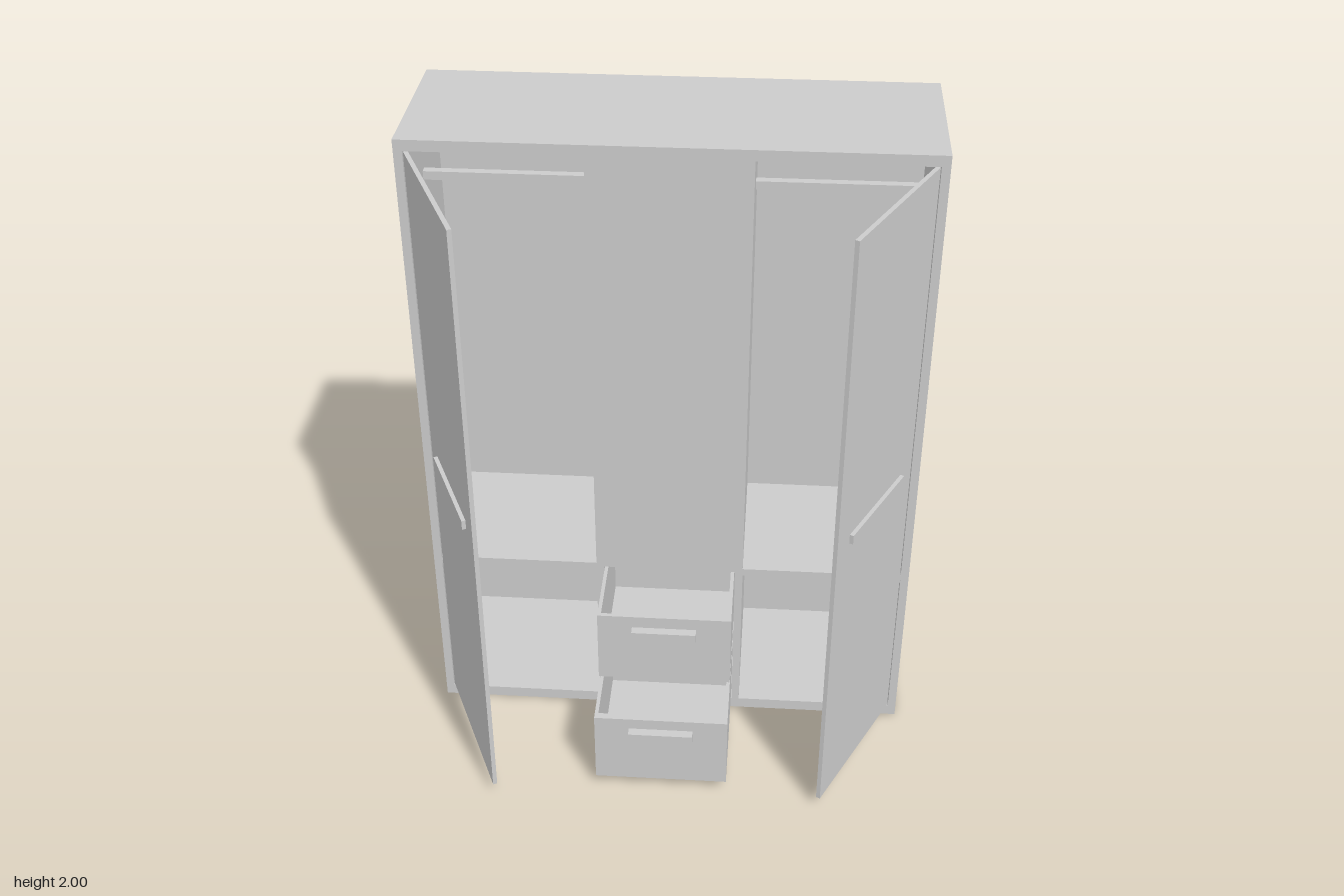
import * as THREE from 'three';

const material = new THREE.MeshStandardMaterial({ color: 0xcccccc });

// Box given by its min and max on each axis
function slab(parent, name, [x0, x1], [y0, y1], [z0, z1]) {
  const mesh = new THREE.Mesh(new THREE.BoxGeometry(x1 - x0, y1 - y0, z1 - z0), material);
  mesh.name = name;
  mesh.position.set((x0 + x1) / 2, (y0 + y1) / 2, (z0 + z1) / 2);
  parent.add(mesh);
  return mesh;
}

function group(parent, name) {
  const g = new THREE.Group();
  g.name = name;
  parent.add(g);
  return g;
}

const W = 0.747, IN = 0.722, COL = 0.23;      // outer, inner and column half widths
const BACK = -0.475, INNER_BACK = -0.445, FRONT = 0.022;
const FLOOR = 0.037, CEIL = 1.967;

// Open-topped drawer with a bar handle
function addDrawer(parent, name, y0, y1, front, frontThickness, handleY) {
  const g = group(parent, name);
  const w = 0.204, t = 0.011, back = front - 0.44;
  const inner = front - frontThickness;
  slab(g, 'drawerFront', [-w, w], [y0, y1], [inner, front]);
  slab(g, 'drawerBack', [-w, w], [y0, y1], [back, back + t]);
  slab(g, 'drawerBase', [-w + t, w - t], [y0, y0 + t], [back + t, inner]);
  for (const s of [-1, 1]) {
    const xs = [s * w, s * (w - t)].sort((a, b) => a - b);
    slab(g, 'drawerSide', xs, [y0, y1], [back + t, inner]);
  }
  slab(g, 'drawerHandle', [-0.098, 0.098], [handleY - 0.018, handleY + 0.018], [front, front + 0.027]);
}

// Door swung open about its outer edge; side is -1 or +1 in x
function addDoor(parent, name, side, angle) {
  const g = group(parent, name);
  g.position.set(side * 0.72, 0, FRONT - 0.003);
  // local +x runs from the hinge to the free edge, local z is the thickness
  g.rotation.y = side < 0 ? -angle : Math.PI + angle;
  const out = side < 0 ? 1 : -1;
  const span = (a, b) => [out * a, out * b].sort((p, q) => p - q);
  slab(g, 'doorPanel', [0, 0.492], [0.04, 1.965], span(-0.013, 0));
  slab(g, 'doorHandle', [0.078, 0.416], [0.986, 1.016], span(0, 0.012));
}

export function createModel() {
  const model = new THREE.Group();
  model.name = 'wardrobe';

  // Carcass
  const body = group(model, 'carcass');
  slab(body, 'topPanel', [-W, W], [CEIL, 2], [BACK, FRONT]);
  slab(body, 'basePanel', [-W, W], [0, FLOOR], [BACK, FRONT]);
  slab(body, 'backPanel', [-W, W], [FLOOR, CEIL], [BACK, INNER_BACK]);
  slab(body, 'leftSide', [IN, W], [FLOOR, CEIL], [INNER_BACK, FRONT]);
  slab(body, 'rightSide', [-W, -IN], [FLOOR, CEIL], [INNER_BACK, FRONT]);

  // Central column with two drawer openings
  const column = group(model, 'centralColumn');
  slab(column, 'columnBody', [-COL, COL], [0.57, CEIL], [INNER_BACK, FRONT]);
  slab(column, 'drawerDivider', [-0.206, 0.206], [0.287, 0.318], [INNER_BACK, FRONT]);
  slab(column, 'leftPartition', [0.206, COL], [FLOOR, 0.57], [INNER_BACK, FRONT]);
  slab(column, 'rightPartition', [-COL, -0.206], [FLOOR, 0.57], [INNER_BACK, FRONT]);

  // Shelf and hanging rail in each side compartment
  for (const s of [-1, 1]) {
    const xs = s < 0 ? [-IN, -COL] : [COL, IN];
    slab(model, 'shelf', xs, [0.556, 0.582], [INNER_BACK, FRONT - 0.002]);
    slab(model, 'hangingRail', xs, [1.779, 1.805], [-0.225, -0.2]);
  }

  addDrawer(model, 'upperDrawer', 0.32, 0.566, 0.256, 0.013, 0.508);
  addDrawer(model, 'lowerDrawer', 0.039, 0.285, 0.406, 0.022, 0.23);

  addDoor(model, 'rightDoor', -1, THREE.MathUtils.degToRad(66));
  addDoor(model, 'leftDoor', 1, THREE.MathUtils.degToRad(63));
  return model;
}
